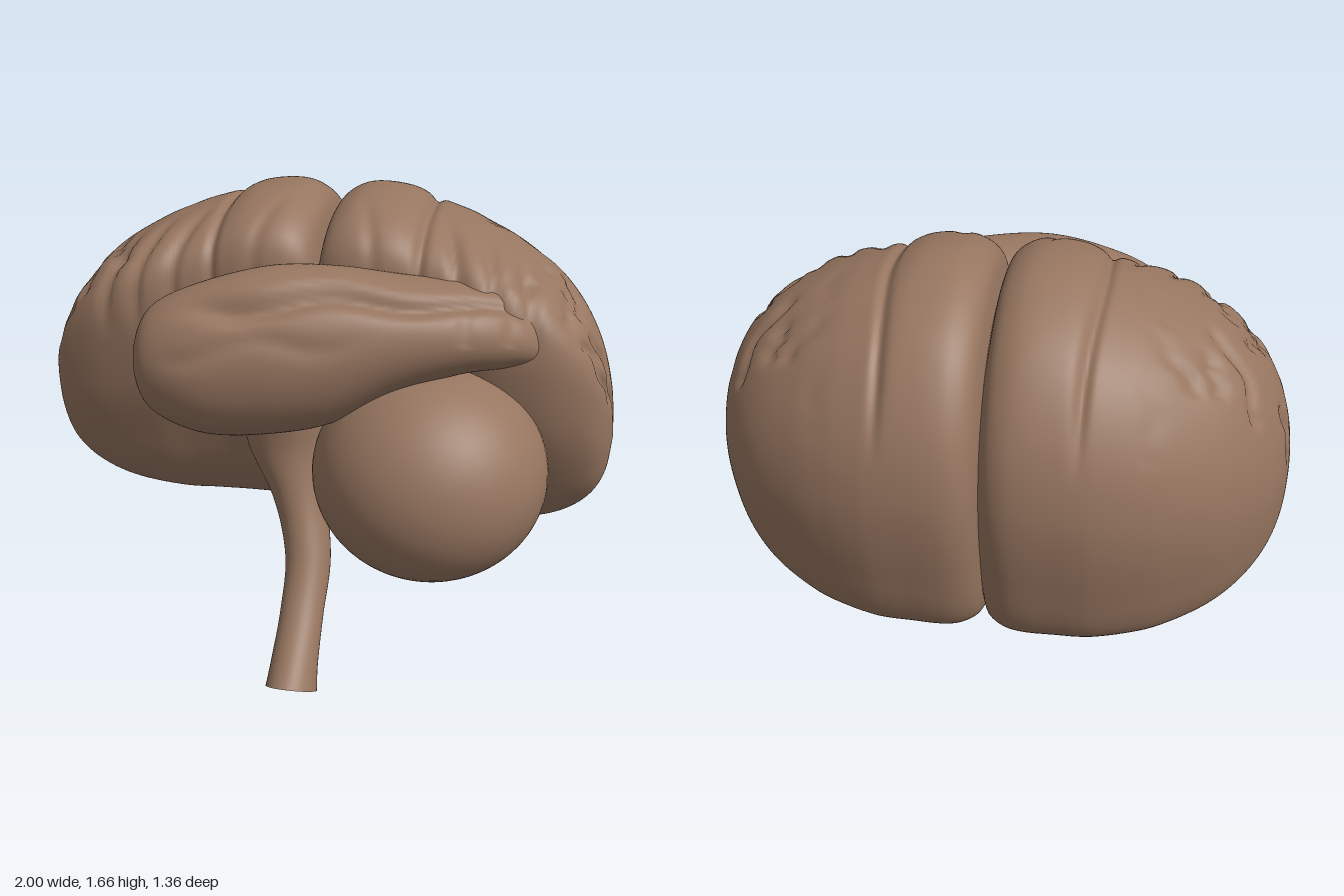
import * as THREE from 'three';

// Catmull-Rom sampling of a table of rows, t in 0..1
function sampleRows(rows, t) {
  const f = t * (rows.length - 1);
  const i = Math.min(Math.floor(f), rows.length - 2), u = f - i;
  const at = (k) => rows[Math.min(Math.max(k, 0), rows.length - 1)];
  const [a, b, c, d] = [at(i - 1), at(i), at(i + 1), at(i + 2)];
  return b.map((_, k) => b[k] + 0.5 * u * (c[k] - a[k] + u * (2 * a[k] - 5 * b[k] + 4 * c[k] - d[k]
    + u * (3 * (b[k] - c[k]) + d[k] - a[k]))));
}

// Closed skin through rings of points, with sharp-edged caps, turned outward
function loft(rings) {
  const n = rings[0].length, m = rings.length, pos = [], index = [];
  rings.forEach((r) => r.forEach((p) => pos.push(p.x, p.y, p.z)));
  for (let i = 0; i < m - 1; i++) for (let j = 0; j < n; j++) {
    const a = i * n + j, b = i * n + (j + 1) % n;
    index.push(a, b, a + n, b, b + n, a + n);
  }
  [rings[0], rings[m - 1]].forEach((r, end) => {
    const base = pos.length / 3, mid = new THREE.Vector3();
    r.forEach((p) => { pos.push(p.x, p.y, p.z); mid.addScaledVector(p, 1 / n); });
    pos.push(mid.x, mid.y, mid.z);
    for (let j = 0; j < n; j++) {
      const a = base + j, b = base + (j + 1) % n;
      if (end) index.push(a, b, base + n); else index.push(b, a, base + n);
    }
  });
  // the signed volume tells which way the faces point
  const v = (k) => new THREE.Vector3().fromArray(pos, index[k] * 3);
  let volume = 0;
  for (let k = 0; k < index.length; k += 3) volume += v(k).dot(v(k + 1).cross(v(k + 2)));
  if (volume < 0) index.reverse();
  const g = new THREE.BufferGeometry();
  g.setAttribute('position', new THREE.Float32BufferAttribute(pos, 3));
  g.setIndex(index);
  g.computeVertexNormals();
  return g;
}

const bell = (d, width) => Math.exp(-(d * d) / (width * width));
const { smoothstep, clamp, lerp } = THREE.MathUtils;

// Side outline of a hemisphere: z, y
const outline = new THREE.CatmullRomCurve3([
  [0.26, 1.42], [0.195, 1.05], [0.09, 0.8], [-0.02, 0.59], [-0.19, 0.42], [-0.36, 0.375], [-0.53, 0.46],
  [-0.63, 0.74], [-0.67, 1.05], [-0.62, 1.3], [-0.47, 1.52], [-0.25, 1.64], [-0.08, 1.66],
  [0.12, 1.62], [0.23, 1.54],
].map(([z, y]) => new THREE.Vector3(0, y, z)), true).getSpacedPoints(180).slice(0, 180);

// Hemisphere slices: x, top, bottom, back, front
const slices = [
  [0, 1.51, 0.44, -0.57, 0.19], [0.025, 1.6, 0.41, -0.63, 0.225], [0.08, 1.645, 0.385, -0.665, 0.25],
  [0.15, 1.66, 0.375, -0.675, 0.26], [0.25, 1.65, 0.375, -0.672, 0.26], [0.32, 1.622, 0.375, -0.667, 0.255],
  [0.38, 1.6, 0.377, -0.658, 0.255], [0.48, 1.57, 0.385, -0.63, 0.27], [0.6, 1.52, 0.4, -0.58, 0.29],
  [0.75, 1.43, 0.445, -0.485, 0.275], [0.86, 1.32, 0.51, -0.375, 0.235], [0.94, 1.18, 0.6, -0.25, 0.18],
  [0.985, 1.02, 0.71, -0.12, 0.1], [1, 0.86, 0.85, 0, 0.01],
];

// Short furrows on the outer side: z, y to z, y
const furrows = [
  [-0.15, 1.45, -0.28, 1.22], [-0.3, 1.53, -0.38, 1.38], [-0.45, 1.45, -0.58, 1.23],
  [-0.27, 1.42, -0.33, 1.35], [-0.1, 1.15, -0.1, 0.97], [0.08, 1.22, 0.03, 0.97],
  [0.16, 1.22, 0.1, 1.03], [0.2, 1.42, 0, 1.43],
  [-0.05, 1.37, 0.07, 1.3], [0.18, 1.3, 0.05, 1.36], [-0.12, 1.55, -0.23, 1.53],
];

function furrowDepth(z, y) {
  let depth = 0;
  for (const [z0, y0, z1, y1] of furrows) {
    const dz = z1 - z0, dy = y1 - y0;
    const t = clamp(((z - z0) * dz + (y - y0) * dy) / (dz * dz + dy * dy), 0, 1);
    const bend = 0.012 * Math.sin(t * 9 + z0 * 20);
    depth = Math.max(depth, bell(Math.hypot(z - z0 - t * dz - bend, y - y0 - t * dy), 0.02));
  }
  return depth;
}

function hemisphere(side) {
  const core = new THREE.Vector3(0.35, 0.95, -0.2), rings = [];
  for (let i = 0; i <= 110; i++) {
    const [x, top, bottom, back, front] = sampleRows(slices, i / 110);
    const round = 0.3 * smoothstep(x, 0.5, 1);
    rings.push(outline.map((o) => {
      // outline in its box, a little rounder towards the outer end
      const z = (o.z + 0.67) / 0.93 - 0.5, y = (o.y - 0.375) / 1.285 - 0.5;
      const k = lerp(1, 0.5 / Math.hypot(z, y), round);
      const p = new THREE.Vector3(x, lerp(bottom, top, 0.5 + y * k), lerp(back, front, 0.5 + z * k));
      // long groove beside the crown, fan of folds in front, furrows outside
      const upper = smoothstep(p.y, 1.15, 1.45);
      let depth = 0.02 * upper * bell(x - 0.345 + 0.035 * smoothstep(-p.z, 0.1, 0.6), 0.02);
      const fan = smoothstep(p.z, -0.02, 0.2) * smoothstep(p.y, 1.15, 1.35);
      for (const fx of [0.18, 0.46, 0.58, 0.7]) {
        depth += (fx < 0.3 ? 0.01 : 0.02) * fan * bell(x - fx - 0.3 * (p.z - 0.2), 0.024);
      }
      depth += 0.018 * smoothstep(x, 0.45, 0.7) * furrowDepth(p.z, p.y);
      if (x > 0.05) p.addScaledVector(core.clone().sub(p).normalize(), depth);
      p.x *= side;
      return p;
    }));
  }
  return loft(rings);
}

// Crosswise lobe slices: x, bottom, top, back, front
const lobeSlices = [
  [-0.542, 1.16, 1.18, 0.42, 0.44], [-0.525, 1.06, 1.29, 0.33, 0.52], [-0.46, 0.985, 1.37, 0.27, 0.59],
  [-0.3, 0.93, 1.44, 0.2, 0.63], [-0.1, 0.935, 1.49, 0.16, 0.615], [0.1, 0.975, 1.49, 0.13, 0.57],
  [0.3, 1.08, 1.46, 0.1, 0.505], [0.5, 1.14, 1.43, 0.05, 0.43], [0.65, 1.15, 1.39, 0, 0.345],
  [0.77, 1.15, 1.3, -0.05, 0.23], [0.85, 1.18, 1.22, -0.02, 0.06],
];

function crossLobe() {
  const rings = [];
  for (let i = 0; i <= 90; i++) {
    const [x, y0, y1, z0, z1] = sampleRows(lobeSlices, i / 90);
    const ring = [];
    for (let j = 0; j < 90; j++) {
      const a = j / 90 * Math.PI * 2;
      // two wavy lengthwise grooves over the upper front, knobs at the narrow end
      const wave = 0.09 * Math.sin(x * 13);
      const main = smoothstep(x, -0.42, -0.15) * (1 - smoothstep(x, 0.6, 0.75));
      const low = smoothstep(x, -0.45, -0.3) * (1 - smoothstep(x, 0.05, 0.3));
      const knob = smoothstep(x, 0.4, 0.5) * bell(Math.sin(x * 24), 0.4);
      const cut = 1 - 0.16 * main * bell(a - 0.85 - wave, 0.16)
        - 0.04 * low * bell(a - 0.3 + wave, 0.13) - 0.06 * knob * bell(a - 0.4, 0.5);
      ring.push(new THREE.Vector3(x, (y0 + y1) / 2 + (y1 - y0) / 2 * Math.sin(a) * cut,
        (z0 + z1) / 2 + (z1 - z0) / 2 * Math.cos(a) * cut));
    }
    rings.push(ring);
  }
  return loft(rings);
}

// Stem stations: x, y, z, half width, half depth
const stations = [
  [0, 0.062, 0.577, 0.087, 0.119], [0, 0.14, 0.528, 0.08, 0.088], [0, 0.27, 0.42, 0.075, 0.073],
  [-0.005, 0.42, 0.305, 0.08, 0.085], [-0.05, 0.6, 0.22, 0.095, 0.1],
  [-0.11, 0.8, 0.18, 0.135, 0.12], [-0.12, 1, 0.2, 0.14, 0.13],
];

function stem() {
  const rings = [];
  for (let i = 0; i <= 40; i++) {
    const [x, y, z, w, d] = sampleRows(stations, i / 40);
    const a = sampleRows(stations, Math.max(i - 1, 0) / 40), b = sampleRows(stations, Math.min(i + 1, 40) / 40);
    const len = Math.hypot(b[1] - a[1], b[2] - a[2]);
    const ny = -(b[2] - a[2]) / len, nz = (b[1] - a[1]) / len;
    rings.push(Array.from({ length: 40 }, (_, j) => {
      const t = j / 40 * Math.PI * 2, s = Math.sin(t) * d;
      return new THREE.Vector3(x + Math.cos(t) * w, y + ny * s, z + nz * s);
    }));
  }
  return loft(rings);
}

export function createModel() {
  const group = new THREE.Group();
  const brown = new THREE.MeshStandardMaterial({ color: 0x977660 });
  brown.name = 'warmBrown';
  const add = (name, geometry) => {
    const mesh = new THREE.Mesh(geometry, brown);
    mesh.name = name;
    group.add(mesh);
    return mesh;
  };
  add('leftHemisphere', hemisphere(1));
  add('rightHemisphere', hemisphere(-1));
  add('crossLobe', crossLobe());
  add('stem', stem());
  const ball = add('roundLobe', new THREE.SphereGeometry(1, 64, 40));
  ball.scale.set(0.392, 0.364, 0.382);
  ball.position.set(0.41, 0.792, 0.29);
  return group;
}
